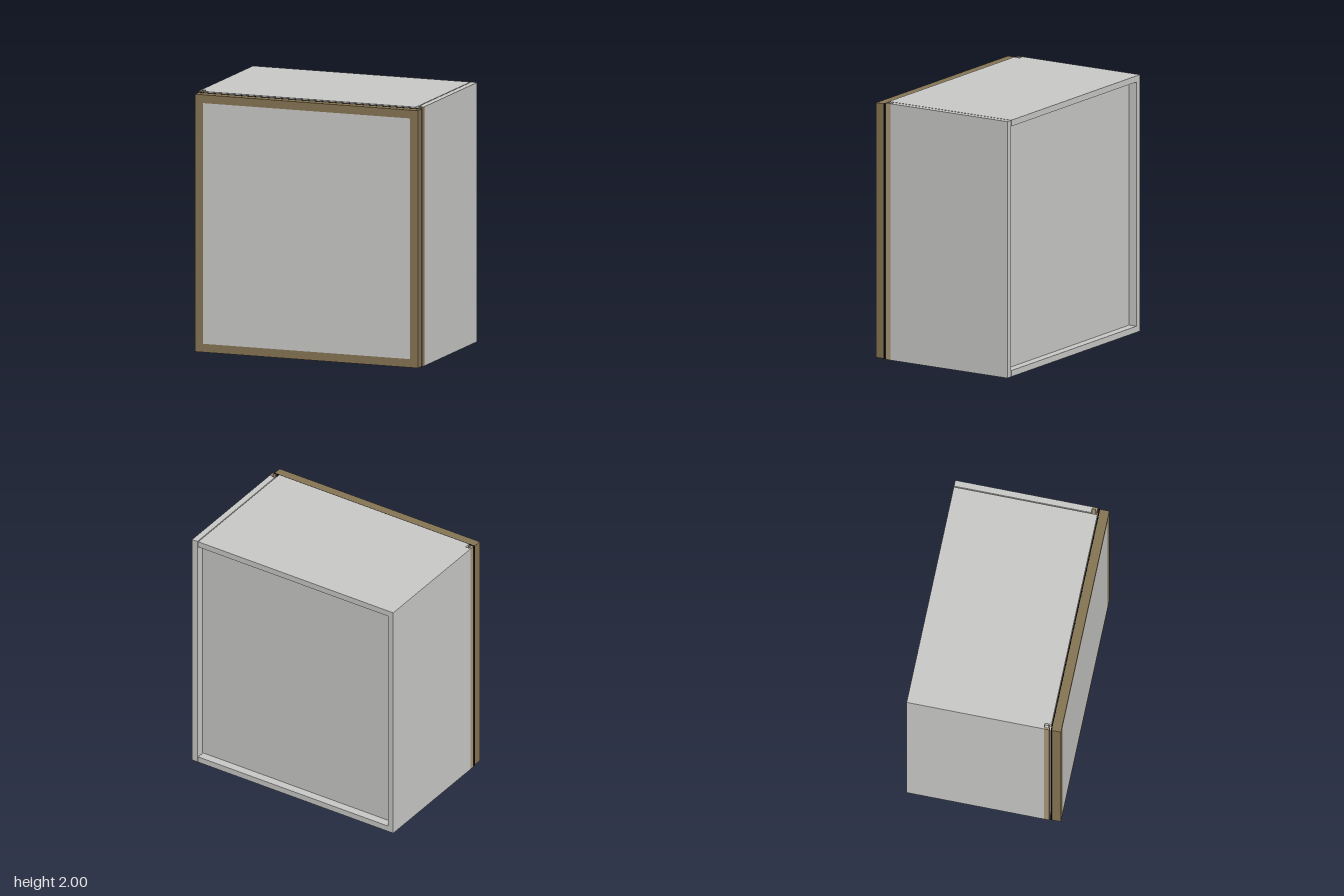
import * as THREE from 'three';

export function createModel() {
  const group = new THREE.Group();
  const material = (name, color) => {
    const m = new THREE.MeshStandardMaterial({ color });
    m.name = name;
    return m;
  };
  const grey = material('grey panel', 0xc8c8c6);
  const brown = material('brown frame', 0x857453);
  const tan = material('tan corner strip', 0xa9967a);
  const black = material('black gasket', 0x12100d);

  const add = (name, geometry, mat) => {
    const mesh = new THREE.Mesh(geometry, mat);
    mesh.name = name;
    group.add(mesh);
    return mesh;
  };
  // Box given by its lower and upper corners
  const box = (name, mat, [x0, y0, z0], [x1, y1, z1]) => {
    const g = new THREE.BoxGeometry(x1 - x0, y1 - y0, z1 - z0);
    g.translate((x0 + x1) / 2, (y0 + y1) / 2, (z0 + z1) / 2);
    return add(name, g, mat);
  };

  const W = 0.915, T = 0.048, BACK = -0.597;

  // Carcass: full-height sides stop short of the front corners
  box('leftSide', grey, [0.867, 0, BACK], [W, 2, 0.465]);
  box('rightSide', grey, [-W, 0, BACK], [-0.868, 2, 0.465]);
  box('topPanel', grey, [-0.868, 2 - T, BACK], [0.86, 2, 0.515]);
  box('bottomPanel', grey, [-0.868, 0, BACK], [0.86, T, 0.515]);
  box('backPanel', grey, [-0.868, T, -0.53], [0.867, 2 - T, -0.5]);

  // L-shaped strips in the front corners
  for (const s of [-1, 1]) {
    const pts = [[W, 0.465], [W, 0.507], [0.878, 0.507], [0.878, 0.493], [0.9, 0.493], [0.9, 0.465]];
    const shape = new THREE.Shape(pts.map(([x, z]) => new THREE.Vector2(s * x, -z)));
    const g = new THREE.ExtrudeGeometry(shape, { depth: 2, bevelEnabled: false });
    g.rotateX(-Math.PI / 2);
    add(s > 0 ? 'leftCornerStrip' : 'rightCornerStrip', g, tan);
  }

  // Door: gasket, frame with an opening, flush infill panel
  box('doorGasket', black, [-0.913, 0.002, 0.518], [0.913, 1.993, 0.526]);
  const rect = (P, x, y0, y1) => {
    const p = new P();
    p.moveTo(-x, y0);
    p.lineTo(x, y0);
    p.lineTo(x, y1);
    p.lineTo(-x, y1);
    p.closePath();
    return p;
  };
  const frame = rect(THREE.Shape, 0.911, 0.004, 1.99);
  frame.holes.push(rect(THREE.Path, 0.847, 0.069, 1.926));
  const frameGeometry = new THREE.ExtrudeGeometry(frame, { depth: 0.071, bevelEnabled: false });
  frameGeometry.translate(0, 0, 0.526);
  add('doorFrame', frameGeometry, brown);
  box('doorPanel', grey, [-0.847, 0.069, 0.526], [0.847, 1.926, 0.597]);

  return group;
}
